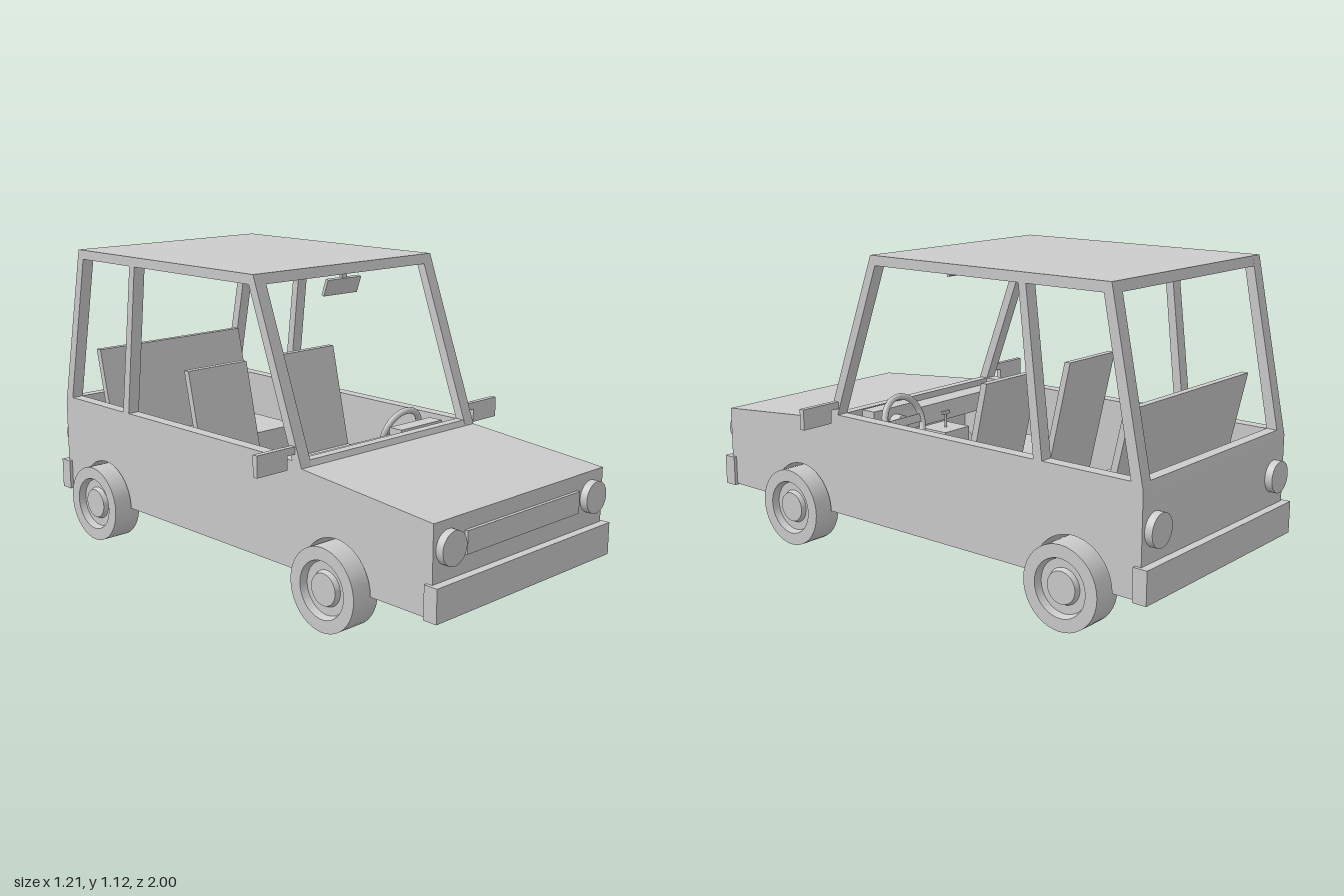
import * as THREE from 'three';
import { toCreasedNormals } from 'three/addons/utils/BufferGeometryUtils.js';

const material = new THREE.MeshStandardMaterial({ color: 0xcccccc });
const WHEEL_Z = [0.56, -0.71], AXLE_Y = 0.15, ARCH = 0.155;
const HALF = 0.44, INNER = 0.393;

export function createModel() {
  const car = new THREE.Group();

  function add(name, geometry, x = 0, y = 0, z = 0, parent = car) {
    const mesh = new THREE.Mesh(geometry, material);
    mesh.name = name;
    mesh.position.set(x, y, z);
    parent.add(mesh);
    return mesh;
  }
  const box = (name, w, h, d, x, y, z) => add(name, new THREE.BoxGeometry(w, h, d), x, y, z);
  const outline = (pts) => new THREE.Shape(pts.map(([z, y]) => new THREE.Vector2(z, y)));

  // Side profile in (z, y), extruded across x from x0 to x1
  function across(name, shape, x0, x1) {
    const g = new THREE.ExtrudeGeometry(shape, { depth: x1 - x0, bevelEnabled: false, curveSegments: 20 });
    g.rotateY(-Math.PI / 2).translate(x1, 0, 0);
    return add(name, toCreasedNormals(g, 0.5));
  }

  // Underside with both wheel arches, from tail to nose
  function startUnderside() {
    const s = new THREE.Shape();
    s.moveTo(-0.97, 0.15);
    for (const z of [WHEEL_Z[1], WHEEL_Z[0]]) {
      s.lineTo(z - ARCH, AXLE_Y);
      s.absarc(z, AXLE_Y, ARCH, Math.PI, 0, true);
    }
    s.lineTo(0.97, 0.15);
    s.lineTo(0.97, 0.455);
    s.lineTo(0.4, 0.505);
    return s;
  }

  // Side panels with pillars and window openings
  const side = startUnderside();
  side.lineTo(0.17, 1.12);
  side.lineTo(-0.84, 1.12);
  side.lineTo(-0.97, 0.5);
  side.closePath();
  side.holes.push(
    outline([[0.355, 0.525], [0.148, 1.085], [-0.485, 1.085], [-0.55, 0.525]]),
    outline([[-0.585, 0.525], [-0.515, 1.085], [-0.812, 1.085], [-0.925, 0.525]])
  );
  across('leftSidePanel', side, INNER, HALF);
  across('rightSidePanel', side, -HALF, -INNER);

  // Nose, hood, firewall, floor with rear wheel hump, and tailgate
  const tub = startUnderside();
  for (const [z, y] of [[0.39, 0.525], [0.355, 0.525], [0.365, 0.47], [0.475, 0.46], [0.475, 0.297]]) tub.lineTo(z, y);
  tub.absarc(WHEEL_Z[0], AXLE_Y, 0.17, Math.PI * 2 / 3, Math.PI - 0.12, false);
  tub.lineTo(-0.545, 0.17);
  tub.absarc(WHEEL_Z[1], 0.17, 0.165, 0, Math.PI, false);
  for (const [z, y] of [[-0.925, 0.17], [-0.925, 0.525], [-0.965, 0.525], [-0.97, 0.5]]) tub.lineTo(z, y);
  tub.closePath();
  across('bodyTub', tub, -INNER, INNER);
  across('roof', outline([[0.183, 1.085], [0.17, 1.12], [-0.84, 1.12], [-0.847, 1.085]]), -INNER, INNER);

  // Bumpers, lamps and grille
  for (const [s, end] of [[1, 'front'], [-1, 'rear']]) {
    box(end + 'Bumper', 0.905, 0.115, 0.052, 0, 0.203, s * 0.974);
    for (const x of [-0.37, 0.37]) {
      const lamp = new THREE.CylinderGeometry(0.057, 0.057, 0.045, 32).rotateX(Math.PI / 2);
      add(end + 'Lamp', lamp, x, 0.367, s * 0.975);
    }
  }
  box('grille', 0.585, 0.077, 0.02, 0, 0.363, 0.972);

  // Wheels: hollow inside, recessed rim and raised hub outside
  const profile = [[0, 0.05], [0.11, 0.05], [0.116, 0], [0.145, 0], [0.145, 0.11], [0.1, 0.11],
    [0.092, 0.085], [0.062, 0.085], [0.055, 0.102], [0, 0.102]].map(([r, h]) => new THREE.Vector2(r, h));
  const wheelGeometry = toCreasedNormals(new THREE.LatheGeometry(profile, 40).rotateZ(-Math.PI / 2), 0.5);
  for (const z of WHEEL_Z) for (const s of [1, -1]) {
    const wheel = add(z > 0 ? 'frontWheel' : 'rearWheel', wheelGeometry, s * 0.395, 0.147, z);
    if (s < 0) wheel.rotation.y = Math.PI;
  }

  // Door mirrors: plate on a short arm
  for (const s of [1, -1]) {
    box('doorMirror', 0.132, 0.075, 0.02, s * 0.541, 0.538, 0.36);
    box('doorMirrorArm', 0.05, 0.026, 0.02, s * 0.456, 0.562, 0.36);
  }

  // Interior mirror hanging from the roof
  box('interiorMirror', 0.165, 0.062, 0.012, -0.008, 1.04, 0.15).rotation.x = 0.35;
  box('interiorMirrorStem', 0.025, 0.03, 0.012, -0.008, 1.077, 0.158);

  // Seats: leaning back and cushion
  function seat(name, x0, x1, z, cushionY, depth) {
    const lean = (y) => z - 0.225 * (y - 0.72);
    across(name + 'Back', outline([[lean(0.22), 0.22], [lean(0.72), 0.72], [lean(0.72) - 0.025, 0.72],
      [lean(0.22) - 0.025, 0.22]].reverse()), x0, x1);
    box(name + 'Cushion', x1 - x0, 0.09, depth, (x0 + x1) / 2, cushionY - 0.045, lean(cushionY) + depth / 2);
    box(name + 'Base', (x1 - x0) * 0.8, cushionY - 0.25, depth * 0.8, (x0 + x1) / 2,
      (cushionY + 0.07) / 2, lean(cushionY) + depth / 2);
  }
  seat('leftSeat', 0.088, 0.366, -0.268, 0.33, 0.3);
  seat('rightSeat', -0.372, -0.094, -0.268, 0.33, 0.3);
  seat('rearSeat', -0.36, 0.355, -0.837, 0.36, 0.28);

  // Dashboard, centre console and gear lever
  across('dashboard', outline([[0.27, 0.43], [0.4, 0.43], [0.4, 0.5], [0.28, 0.5]]), -INNER, INNER);
  box('instrumentHood', 0.22, 0.03, 0.06, 0.22, 0.512, 0.31);
  box('centreConsole', 0.135, 0.25, 0.13, -0.003, 0.29, 0.235);
  add('gearLever', new THREE.CylinderGeometry(0.005, 0.005, 0.06, 10), -0.003, 0.44, 0.23);
  box('gearKnob', 0.04, 0.012, 0.012, -0.003, 0.473, 0.23);

  // Steering wheel with spokes and tapered column
  const steering = new THREE.Group();
  steering.name = 'steeringWheel';
  steering.position.set(0.22, 0.477, 0.235);
  steering.rotation.x = 0.3;
  car.add(steering);
  add('steeringRim', new THREE.TorusGeometry(0.095, 0.012, 10, 36), 0, 0, 0, steering);
  add('steeringSpokes', new THREE.BoxGeometry(0.18, 0.03, 0.01), 0, 0, 0, steering);
  add('steeringColumn', new THREE.CylinderGeometry(0.055, 0.025, 0.11, 20).rotateX(Math.PI / 2), 0, 0, 0.055, steering);

  // Door handles inside
  for (const s of [1, -1]) {
    add('innerDoorHandle', new THREE.CylinderGeometry(0.018, 0.018, 0.02, 16).rotateZ(Math.PI / 2), s * 0.387, 0.44, 0.1);
  }
  return car;
}
